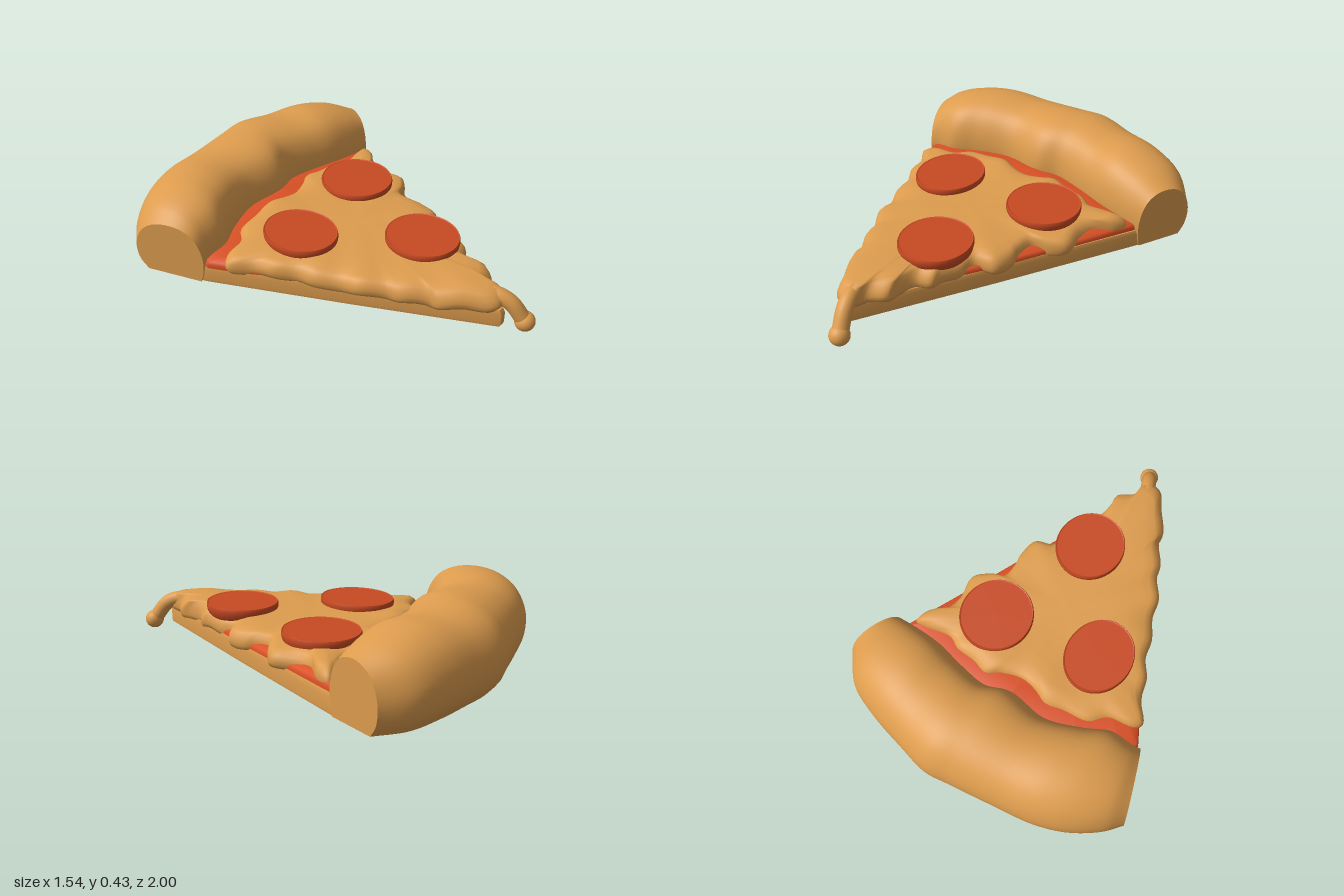
import * as THREE from 'three';

const flat = (name, color) => Object.assign(new THREE.MeshStandardMaterial({ color }), { name });

// Sample a closed [x, z] outline; tension 0 keeps straight edges
function outline(pts, per, straight) {
  const curve = new THREE.CatmullRomCurve3(pts.map(([x, z]) => new THREE.Vector3(x, 0, z)),
    true, straight ? 'catmullrom' : 'centripetal', 0);
  return curve.getPoints(pts.length * per).slice(0, -1).map(p => [p.x, p.z]);
}

// Concentric rings of an outline, each [scale, height]; a repeated ring makes a crease
function layered(points, rings, [cx, cz], lift = () => 0) {
  const pos = [], idx = [], n = points.length;
  rings.forEach(([s, y], j) => points.forEach(([px, pz], i) => {
    const x = cx + (px - cx) * s, z = cz + (pz - cz) * s;
    pos.push(x, y + lift(x, z, s), z);
    if (j === rings.length - 1) return;
    const a = j * n + i, b = j * n + (i + 1) % n;
    idx.push(a, a + n, b, b, a + n, b + n);
  }));
  return build(pos, idx);
}

function build(pos, idx) {
  const g = new THREE.BufferGeometry();
  g.setAttribute('position', new THREE.Float32BufferAttribute(pos, 3));
  g.setIndex(idx);
  g.computeVertexNormals();
  return g;
}

// Crust stations: front x, front z, back x, back z, top height
const STATIONS = [
  [-.65, -.36, -.77, -.70, .32], [-.6, -.37, -.7, -.78, .37], [-.5, -.37, -.57, -.87, .408],
  [-.38, -.43, -.42, -.925, .42], [-.2, -.49, -.22, -.955, .41], [0, -.47, 0, -.985, .425],
  [.12, -.51, .13, -1, .425], [.28, -.49, .3, -.965, .408], [.42, -.46, .48, -.92, .41],
  [.55, -.45, .65, -.85, .375], [.66, -.45, .77, -.72, .32]];
const BASE = 0.03;

// Crust cross-section: u runs front to back, v is height
const SECTION = [[.06, 0], [.02, .15], [0, .4], [.04, .66], [.14, .86], [.3, .97], [.5, 1],
  [.7, .95], [.86, .82], [.96, .63], [1, .42], [.97, .18], [.86, 0]];

function crustGeometry() {
  const front = new THREE.CatmullRomCurve3(STATIONS.map(s => new THREE.Vector3(s[0], s[4], s[1])));
  const back = new THREE.CatmullRomCurve3(STATIONS.map(s => new THREE.Vector3(s[2], s[4], s[3])));
  const sec = new THREE.SplineCurve(SECTION.map(p => new THREE.Vector2(...p))).getPoints(40);
  const pos = [], idx = [], m = sec.length, n = 80;
  const ring = t => {
    const f = front.getPoint(t), b = back.getPoint(t);
    sec.forEach(({ x: u, y: v }) => pos.push(
      f.x + (b.x - f.x) * u, BASE + (f.y - BASE) * Math.max(v, 0), f.z + (b.z - f.z) * u));
  };
  for (let i = 0; i <= n; i++) {
    ring(i / n);
    for (let j = 0; j < m - 1 && i < n; j++) {
      const a = i * m + j, b = a + m;
      idx.push(a, b, a + 1, a + 1, b, b + 1);
    }
  }
  // flat cut ends
  [0, 1].forEach(t => {
    const s = pos.length / 3;
    ring(t);
    for (let j = 1; j < m - 1; j++) idx.push(s, ...(t ? [s + j + 1, s + j] : [s + j, s + j + 1]));
  });
  return build(pos, idx);
}

const CHEESE = [[-.03, .86], [-.1, .76], [-.17, .66], [-.18, .6], [-.25, .5], [-.27, .43], [-.34, .33],
  [-.36, .24], [-.42, .13], [-.44, .04], [-.5, -.05], [-.53, -.15], [-.6, -.25], [-.57, -.29],
  [-.45, -.32], [-.38, -.39], [-.25, -.41], [-.16, -.43], [-.08, -.4], [0, -.39], [.1, -.42],
  [.17, -.46], [.25, -.44], [.35, -.43], [.42, -.4], [.55, -.42], [.61, -.42], [.59, -.35],
  [.52, -.28], [.5, -.2], [.515, -.08], [.46, -.02], [.38, .02], [.37, .1], [.38, .16], [.36, .26],
  [.27, .3], [.26, .38], [.23, .48], [.22, .53], [.16, .57], [.14, .66], [.14, .72], [.07, .78], [.05, .86]];

export function createModel() {
  const root = new THREE.Group();
  root.name = 'pizzaSlice';
  const dough = flat('golden dough', 0xdd9c4e);
  const sauceRed = flat('tomato sauce', 0xd95025);
  const meatRed = flat('pepperoni red', 0xc84a22);
  const add = (name, geo, mat, parent = root) => {
    const mesh = new THREE.Mesh(geo, mat);
    mesh.name = name;
    parent.add(mesh);
    return mesh;
  };
  const centre = [0, 0.02];
  // layers climb gently towards the middle of the crust
  const rise = (x, z) => 0.035 * THREE.MathUtils.smoothstep(-z, 0.15, 0.45) * Math.max(0, 1 - Math.abs(x) / 0.75);

  // Dough slab, running under the crust
  const rim = STATIONS.map(([fx, fz, bx, bz]) => [fx + (bx - fx) * .86, fz + (bz - fz) * .86]);
  const slab = outline([[-.01, .88], [-.33, .26], [-.64, -.36], ...rim, [.65, -.44], [.34, .22], [.02, .88]], 8, true);
  add('doughBase', layered(slab, [[0, BASE], [.995, BASE], [.995, BASE], [1, .045], [1, .1],
    [.985, .12], [.985, .12], [0, .12]], centre), dough);

  add('crust', crustGeometry(), dough);

  // Sauce
  const sauce = outline([[0, .86], [-.32, .25], [-.635, -.35], [-.62, -.43], [-.4, -.52], [0, -.58],
    [.4, -.54], [.645, -.46], [.335, .22]], 10, true);
  add('sauce', layered(sauce, [[1, .11], [1, .13], [.98, .143], [.9, .155], [.75, .165], [.4, .17], [0, .17]],
    centre, rise), sauceRed);

  // Melted cheese with a lumpy edge
  const lumps = (x, z, s) => rise(x, z)
    + 0.009 * s * s * Math.sin(x * 17 + 1) * Math.sin(z * 23)
    + (s < 0.985 ? 0.015 * THREE.MathUtils.smoothstep(z, 0.4, 0.75) : 0);
  add('cheese', layered(outline(CHEESE, 5), [[.95, .112], [.985, .113], [1, .13], [1, .15], [.985, .172],
    [.95, .19], [.9, .2], [.8, .208], [.65, .212], [.45, .215], [.2, .215], [0, .215]], centre, lumps), dough);

  // Cheese drip hanging off the tip
  const drip = new THREE.Group();
  drip.name = 'cheeseDrip';
  root.add(drip);
  const strand = [[0, .155, .72], [.025, .17, .82], [.05, .14, .885], [.07, .08, .93], [.08, .047, .95]]
    .map(p => new THREE.Vector3(...p));
  add('dripStrand', new THREE.TubeGeometry(new THREE.CatmullRomCurve3(strand), 24, .038, 16), dough, drip);
  add('dripTop', new THREE.SphereGeometry(.038, 16, 12), dough, drip).position.copy(strand[0]);
  add('dripBead', new THREE.SphereGeometry(.048, 20, 14), dough, drip).position.set(.08, .048, .952);

  // Pepperoni: x, z, radius in x, radius in z
  [[-.255, -.1, .165, .19], [.275, -.195, .18, .186], [.09, .365, .172, .182]].forEach(([x, z, rx, rz], k) => {
    const circle = Array.from({ length: 48 }, (_, i) => {
      const a = i / 48 * Math.PI * 2;
      return [x - rx * Math.cos(a), z - rz * Math.sin(a)];
    });
    add('pepperoni' + (k + 1), layered(circle, [[0, .18], [.9, .18], [.97, .195], [1, .22], [1, .235],
      [.98, .244], [.98, .244], [.95, .241], [.95, .241], [0, .241]], [x, z]), meatRed);
  });

  return root;
}
